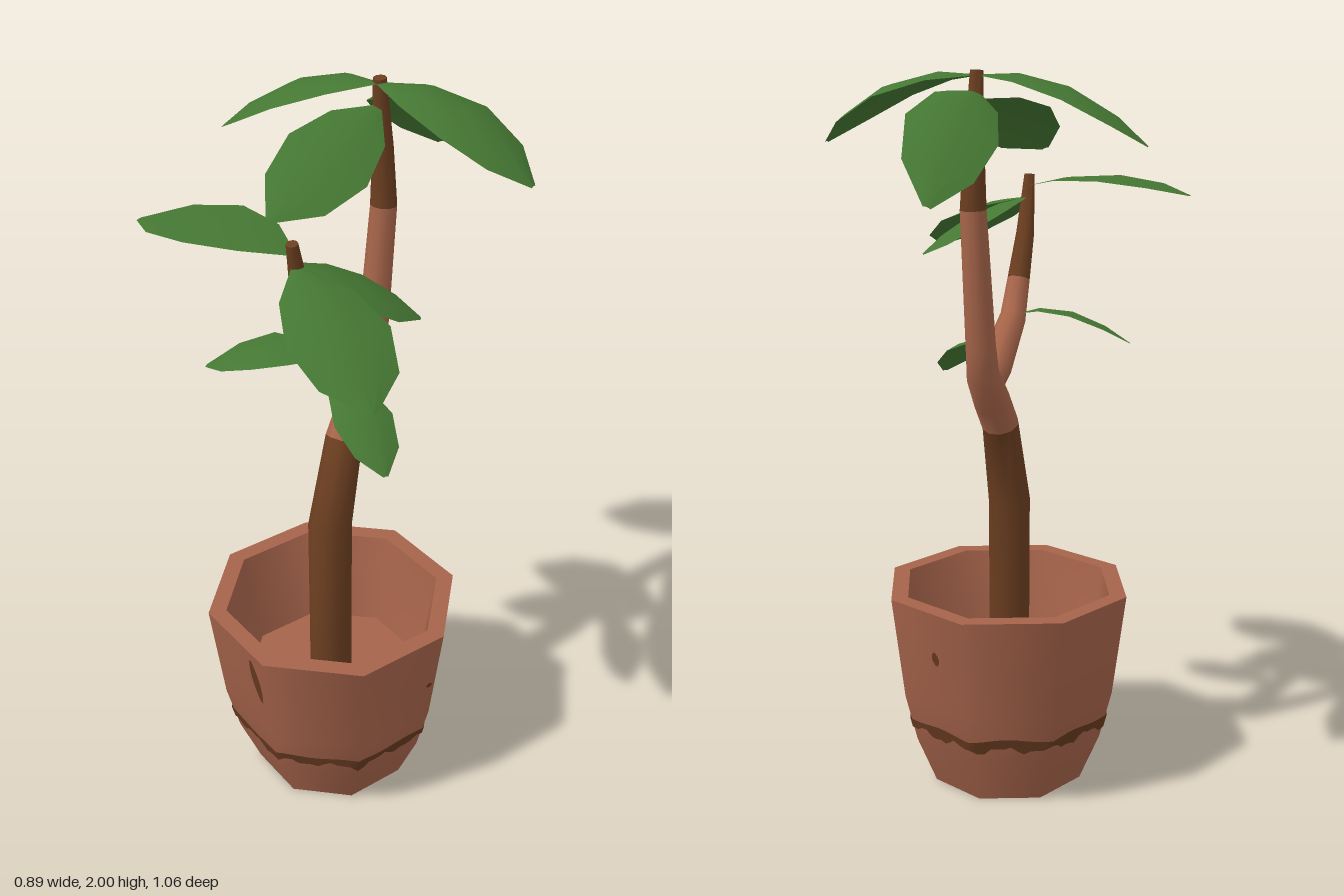
import * as THREE from 'three';
import { toCreasedNormals } from 'three/addons/utils/BufferGeometryUtils.js';

const POT = { x: 0.015, z: 0.116 };
const OUTER = [[0.225, 0], [0.283, 0.14], [0.318, 0.28], [0.355, 0.575]];
const INNER = [[0.305, 0.575], [0.278, 0.42], [0.25, 0.31], [0, 0.31]];

function material(name, color, side = THREE.FrontSide) {
  const m = new THREE.MeshStandardMaterial({ color, side });
  m.name = name;
  return m;
}

function mesh(name, geometry, mat) {
  const m = new THREE.Mesh(geometry, mat);
  m.name = name;
  return m;
}

// Surface from rows of points, with one optional material index per row
function surface(rows, rowMaterials) {
  const n = rows[0].length, index = [];
  const geo = new THREE.BufferGeometry().setFromPoints(rows.flat());
  for (let i = 0; i < rows.length - 1; i++) {
    if (rowMaterials) geo.addGroup(index.length, (n - 1) * 6, rowMaterials[i]);
    for (let j = 0; j < n - 1; j++) {
      const a = i * n + j, b = a + n;
      index.push(a, b, a + 1, a + 1, b, b + 1);
    }
  }
  geo.setIndex(index);
  geo.computeVertexNormals();
  return geo;
}

// Point just outside the octagonal pot wall (angle runs from +x to +z)
function onPot(deg, y) {
  let k = 0;
  while (k < OUTER.length - 2 && y > OUTER[k + 1][1]) k++;
  const [r0, y0] = OUTER[k], [r1, y1] = OUTER[k + 1];
  const rad = r0 + (r1 - r0) * (y - y0) / (y1 - y0);
  const local = (((deg % 45) + 45) % 45) - 22.5;
  const r = rad * Math.cos(Math.PI / 8) / Math.cos(local * Math.PI / 180) + 0.004;
  const a = deg * Math.PI / 180;
  return new THREE.Vector3(POT.x + r * Math.cos(a), y, POT.z + r * Math.sin(a));
}

// Tapered limb in the yz plane: stations are [y, z, radius, material index]
function limb(stations, sides = 10) {
  const x = 0.01, rows = [];
  stations.forEach(([y, z, r], i) => {
    const p = stations[Math.max(i - 1, 0)], q = stations[Math.min(i + 1, stations.length - 1)];
    const len = Math.hypot(q[0] - p[0], q[1] - p[1]);
    const ty = (q[0] - p[0]) / len, tz = (q[1] - p[1]) / len;
    const ring = (k) => Array.from({ length: sides + 1 }, (_, j) => {
      const a = j / sides * Math.PI * 2, s = Math.sin(a) * k;
      return new THREE.Vector3(x + Math.cos(a) * k, y - tz * s, z + ty * s);
    });
    rows.push(ring(r));
    if (i === stations.length - 1) rows.push(ring(0.0005));
  });
  const mats = stations.map((s) => s[3]);
  return toCreasedNormals(surface(rows, mats), 0.9);
}

// Arched leaf: base, middle and tip points, half width, and roll (lift of one edge)
function leaf(base, mid, tip, half, roll = 0, droop = 0.03) {
  const b = new THREE.Vector3(...base), m = new THREE.Vector3(...mid), t = new THREE.Vector3(...tip);
  const control = m.multiplyScalar(2).addScaledVector(b, -0.5).addScaledVector(t, -0.5);
  const curve = new THREE.QuadraticBezierCurve3(b, control, t);
  const side = new THREE.Vector3(b.z - t.z, 0, t.x - b.x).normalize();
  const outline = [[0, 0.07], [0.23, 0.7], [0.52, 1], [0.8, 0.76], [1, 0.08]];
  const rows = outline.map(([s, w]) => [-1, -0.5, 0, 0.5, 1].map((u) => {
    const p = curve.getPoint(s).addScaledVector(side, u * w * half);
    p.y += w * (u * roll - u * u * droop);
    return p;
  }));
  // reverse the columns so that the upper side is the front
  return surface(rows.map((r) => r.reverse()));
}

export function createModel() {
  const group = new THREE.Group();
  const clay = material('terracotta', 0xa5634a);
  const stain = material('dark stain', 0x65391f, THREE.DoubleSide);
  const bark = material('brown bark', 0x6b3e20);
  const youngBark = material('light bark', 0xa7654a);
  const green = material('leaf green', 0x457733, THREE.DoubleSide);

  // Thick-walled octagonal pot with a filled floor
  const profile = [[0, 0], ...OUTER, ...INNER].map(([r, y]) => new THREE.Vector2(r, y));
  const pot = mesh('pot', toCreasedNormals(new THREE.LatheGeometry(profile, 8), 0.85), clay);
  pot.position.set(POT.x, 0, POT.z);
  group.add(pot);

  // Uneven stained band round the pot
  const top = [], bottom = [];
  for (let i = 0; i <= 96; i++) {
    const a = i * 3.75, r = a * Math.PI / 180;
    top.push(onPot(a, 0.212 + 0.004 * Math.sin(r * 9)));
    bottom.push(onPot(a, 0.18 + 0.009 * Math.sin(r * 13 + 1) + 0.006 * Math.sin(r * 31)));
  }
  group.add(mesh('potBand', surface([bottom, top]), stain));

  // Stain blotches: centre angle, lower and upper height, half width, lean in degrees
  [[97, 0.41, 0.55, 4, 5], [163, 0.33, 0.44, 4, -2], [-72, 0.42, 0.46, 3, 1], [4, 0.395, 0.41, 2, 0]]
    .forEach(([a, y0, y1, w, lean]) => {
      const rows = [0, 0.25, 0.5, 0.75, 1].map((s) => {
        const k = w * (0.25 + 0.6 * Math.sin(Math.PI * s)), c = a + lean * (s - 0.5);
        return [-1, 0, 1].map((u) => onPot(c + u * k, y0 + (y1 - y0) * s));
      });
      group.add(mesh('potBlotch', surface(rows), stain));
    });

  // Bent trunk running into the taller stem, and the forward branch
  const barks = [bark, youngBark];
  group.add(mesh('trunk', limb([
    [0.3, 0.12, 0.06, 0], [0.82, 0.12, 0.06, 0], [1.06, 0.045, 0.051, 1], [1.14, -0.02, 0.05, 1],
    [1.22, -0.085, 0.045, 1], [1.3, -0.1, 0.041, 1], [1.66, -0.15, 0.035, 0],
    [1.82, -0.142, 0.027, 0], [2.0, -0.122, 0.017, 0],
  ]), barks));
  group.add(mesh('branch', limb([
    [1.17, -0.06, 0.035, 1], [1.23, 0.01, 0.046, 1], [1.34, 0.145, 0.037, 1],
    [1.44, 0.19, 0.032, 0], [1.56, 0.242, 0.026, 0], [1.72, 0.277, 0.015, 0],
  ]), barks));

  // Leaves at the top of the stem, at the branch end and low on the branch
  const leaves = {
    topLeftLeaf: [[0.01, 1.99, -0.115], [0.235, 1.97, -0.115], [0.44, 1.82, -0.105], 0.12],
    topRightLeaf: [[0.01, 1.99, -0.115], [-0.21, 1.965, -0.08], [-0.415, 1.82, -0.055], 0.12],
    topBackLeaf: [[0.01, 1.95, -0.12], [-0.01, 1.9, -0.33], [-0.025, 1.7, -0.525], 0.115, 0.035],
    topFrontLeaf: [[0.01, 1.93, -0.12], [0.005, 1.89, 0.1], [-0.02, 1.79, 0.325], 0.113, 0.04, 0.02],
    branchRightLeaf: [[0.01, 1.69, 0.27], [-0.21, 1.72, 0.27], [-0.448, 1.675, 0.27], 0.125, 0, 0.004],
    branchFrontLeaf: [[0.01, 1.66, 0.265], [0.2, 1.61, 0.385], [0.365, 1.49, 0.505], 0.13, 0, 0.025],
    branchBackLeaf: [[0.01, 1.66, 0.25], [0.14, 1.61, 0.18], [0.255, 1.51, 0.09], 0.095, 0, 0.02],
    lowRightLeaf: [[0.0, 1.35, 0.15], [-0.14, 1.36, 0.185], [-0.305, 1.275, 0.22], 0.085, 0.01, 0.01],
    lowLeftLeaf: [[0.02, 1.29, 0.1], [0.15, 1.26, 0.185], [0.265, 1.15, 0.265], 0.08, 0, 0.02],
  };
  for (const [name, args] of Object.entries(leaves)) group.add(mesh(name, leaf(...args), green));

  return group;
}
